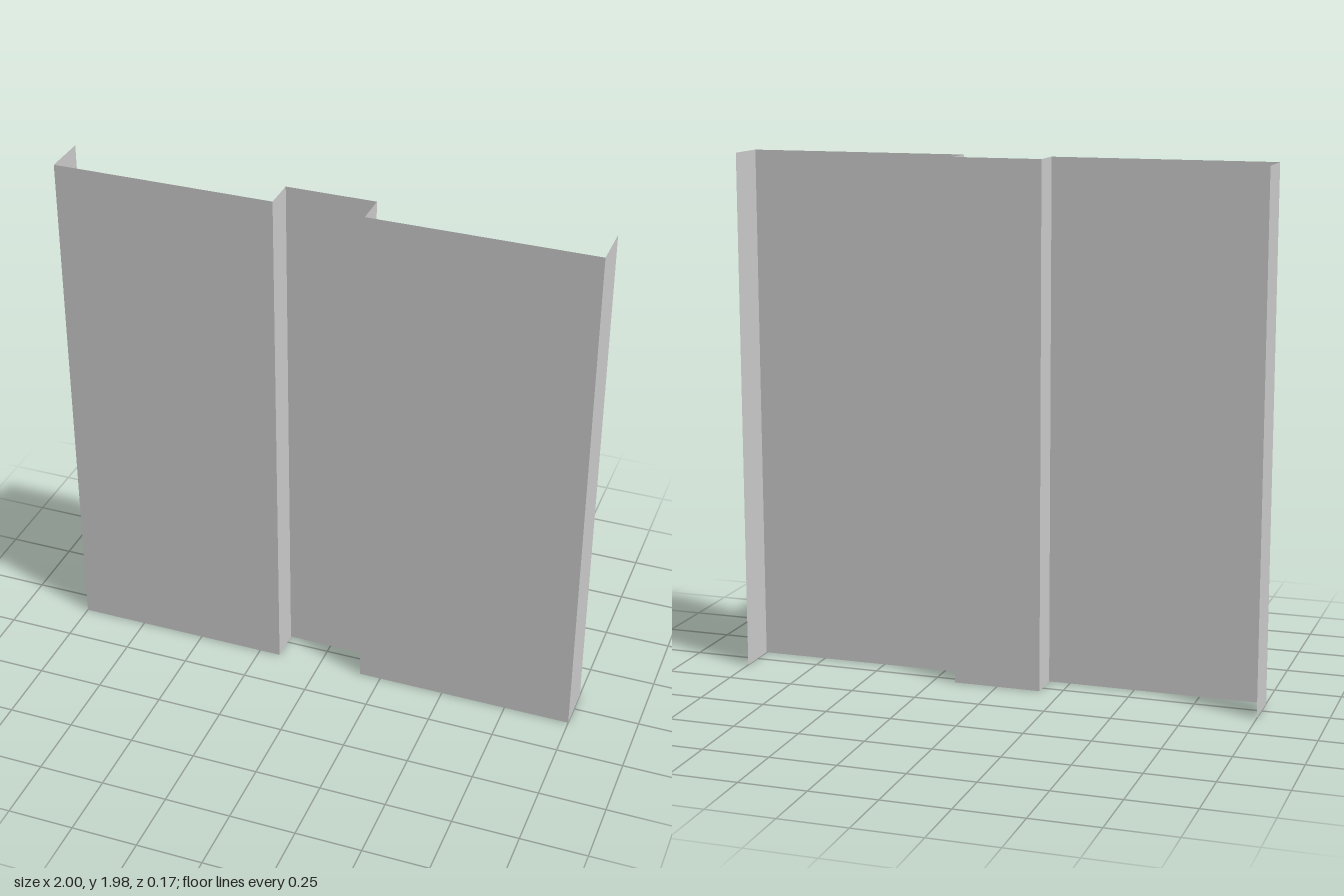
import * as THREE from 'three';

const HEIGHT = 1.977;
const FRONT = 0.086, RECESS = -0.038, BACK = -0.086;

// Plan outline of the folded sheet as [x, z], from -x to +x
const FOLDS = [
  [-1, BACK], [-1, FRONT], [-0.168, FRONT], [-0.168, RECESS],
  [0.167, RECESS], [0.167, FRONT], [1, FRONT], [1, BACK],
];
const NAMES = [
  'rightFlange', 'rightPanel', 'rightRecessSide', 'recessPanel',
  'leftRecessSide', 'leftPanel', 'leftFlange',
];

export function createModel() {
  const model = new THREE.Group();
  model.name = 'foldedSheetPanel';
  const material = new THREE.MeshStandardMaterial({
    color: 0xcccccc, flatShading: true, side: THREE.DoubleSide,
  });

  // One flat, thin strip between each pair of neighbouring folds
  NAMES.forEach((name, i) => {
    const [x0, z0] = FOLDS[i];
    const [x1, z1] = FOLDS[i + 1];
    const width = Math.hypot(x1 - x0, z1 - z0);
    const strip = new THREE.Mesh(new THREE.PlaneGeometry(width, HEIGHT), material);
    strip.name = name;
    strip.position.set((x0 + x1) / 2, HEIGHT / 2, (z0 + z1) / 2);
    strip.rotation.y = Math.atan2(z0 - z1, x1 - x0);
    model.add(strip);
  });
  return model;
}
